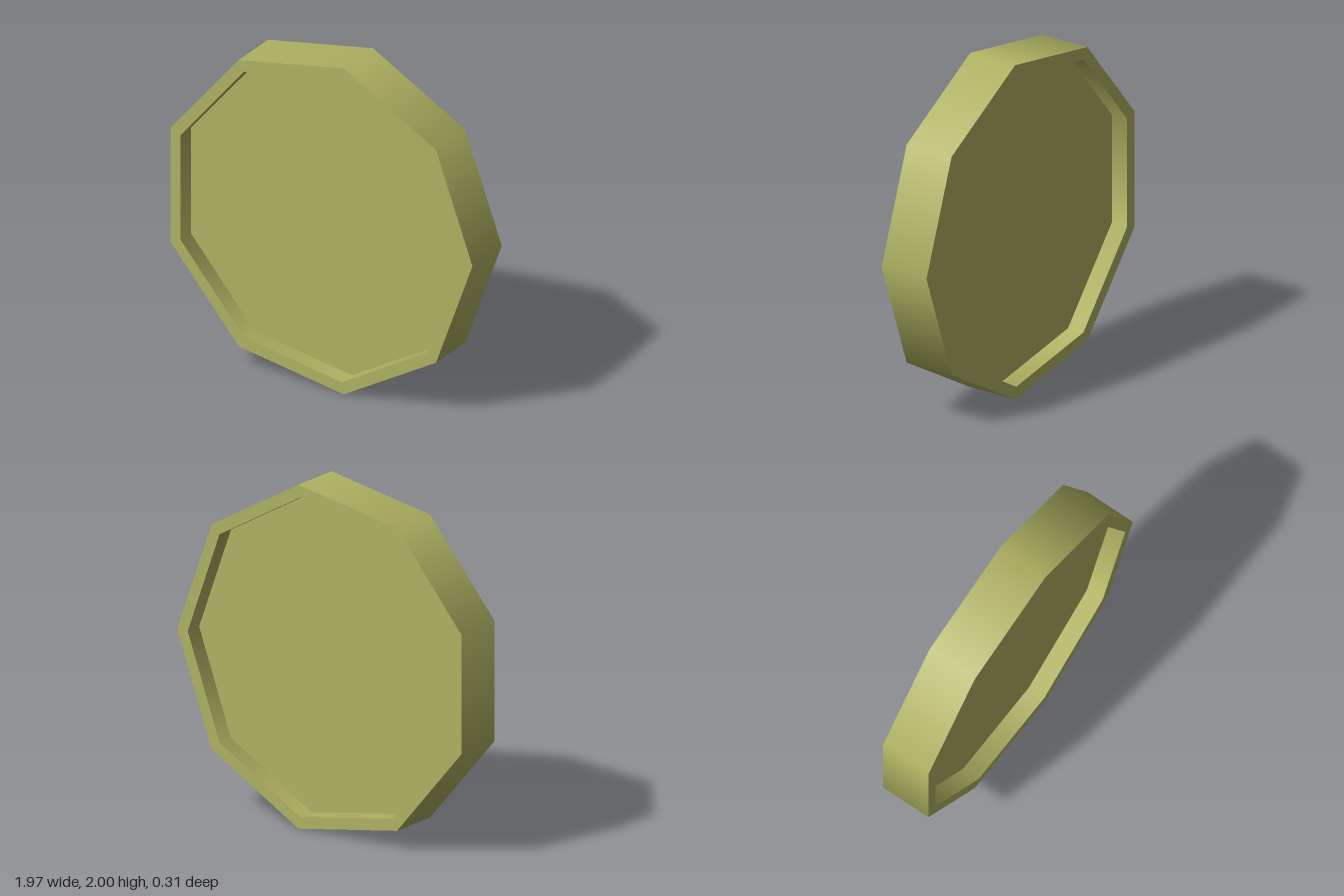
import * as THREE from 'three';

export function createModel() {
  const model = new THREE.Group();
  model.name = 'nonagonalDish';

  const olive = new THREE.MeshStandardMaterial({ color: 0xb0b262 });
  olive.name = 'olive';

  const SIDES = 9;
  const outer = 1.0154; // corner radius of the rim
  const inner = 0.943;  // corner radius of the recess
  const half = 0.153;   // half the depth of the rim
  const floor = 0.048;  // half the thickness of the centre plate

  // Each band turns one straight profile segment, so edges between bands stay sharp
  // while the walls stay smooth around the axis.
  const band = (name, from, to) => {
    const points = [new THREE.Vector2(...from), new THREE.Vector2(...to)];
    const geometry = new THREE.LatheGeometry(points, SIDES, Math.PI / 2);
    geometry.rotateX(Math.PI / 2);
    const mesh = new THREE.Mesh(geometry, olive);
    mesh.name = name;
    model.add(mesh);
  };

  // Closed profile from the back of the plate, around the rim, to the front
  band('backPlate', [0, -floor], [inner, -floor]);
  band('backInnerWall', [inner, -floor], [inner, -half]);
  band('backRim', [inner, -half], [outer, -half]);
  band('outerWall', [outer, -half], [outer, half]);
  band('frontRim', [outer, half], [inner, half]);
  band('frontInnerWall', [inner, half], [inner, floor]);
  band('frontPlate', [inner, floor], [0, floor]);

  // One corner points to +x, so the axis sits slightly off the centre
  model.position.set(-0.0306, 1, 0);

  const root = new THREE.Group();
  root.name = 'model';
  root.add(model);
  return root;
}
